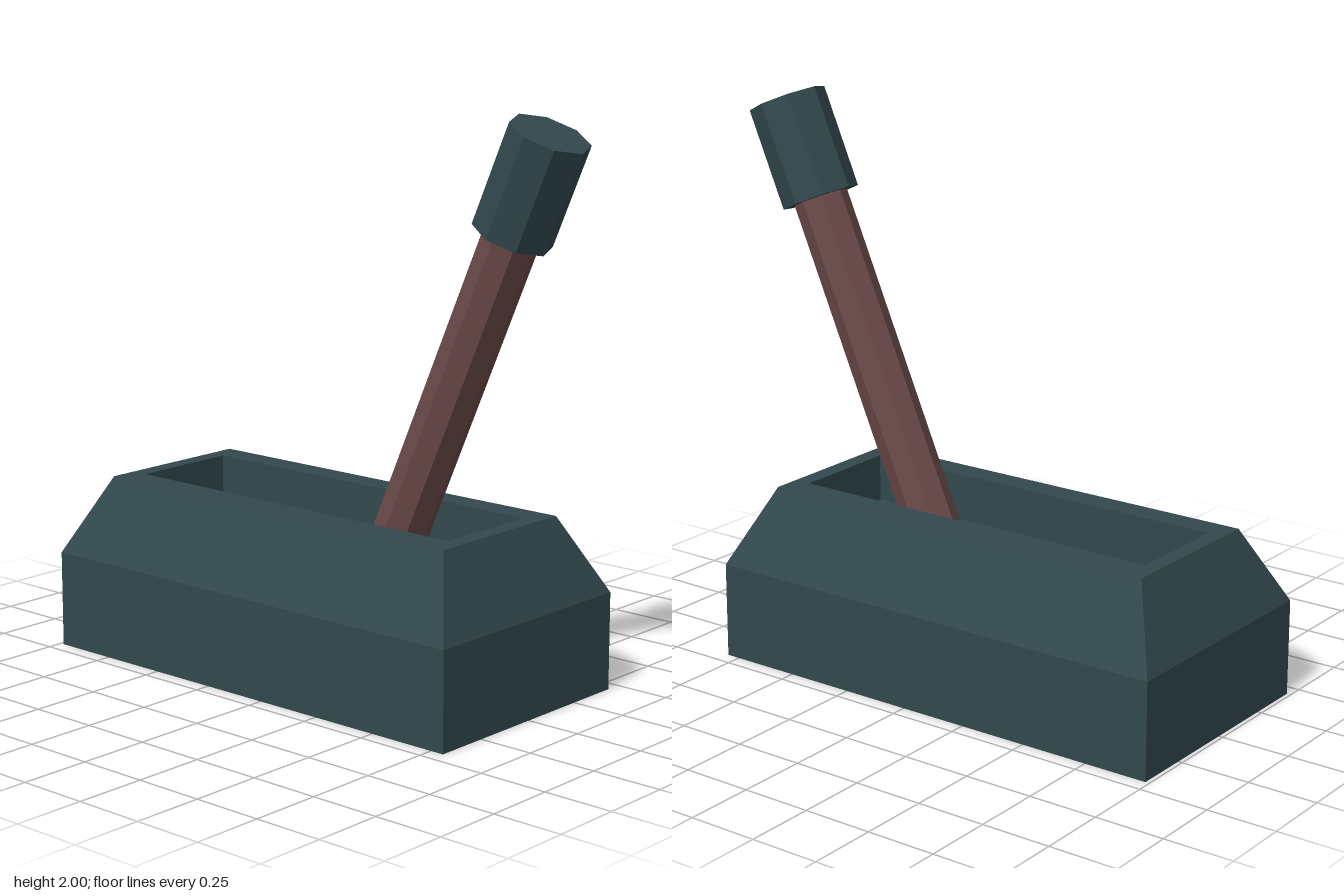
import * as THREE from 'three';

// Faceted shell joining rectangular rings [xMin, xMax, halfDepth, y]; the last ring is capped.
function ringShell(rings) {
  const positions = [];
  const corners = rings.map(([x0, x1, z, y]) => [[x0, y, z], [x1, y, z], [x1, y, -z], [x0, y, -z]]);
  const quad = (a, b, c, d) => positions.push(...a, ...b, ...c, ...a, ...c, ...d);
  for (let r = 0; r < corners.length - 1; r++) {
    for (let i = 0; i < 4; i++) {
      const j = (i + 1) % 4;
      quad(corners[r][i], corners[r][j], corners[r + 1][j], corners[r + 1][i]);
    }
  }
  quad(...corners[corners.length - 1]);
  const geometry = new THREE.BufferGeometry();
  geometry.setAttribute('position', new THREE.Float32BufferAttribute(positions, 3));
  geometry.computeVertexNormals();
  return geometry;
}

export function createModel() {
  const model = new THREE.Group();
  model.name = 'lever';

  const slate = new THREE.MeshStandardMaterial({ name: 'dark slate', color: 0x32484d, flatShading: true, side: THREE.DoubleSide });
  const brown = new THREE.MeshStandardMaterial({ name: 'reddish brown', color: 0x6a4a49, flatShading: true });

  // Housing: open underneath, bevelled upper sides, flat rim and sunken floor
  const housing = new THREE.Mesh(ringShell([
    [-0.985, 0.8, 0.445, 0],
    [-0.985, 0.8, 0.445, 0.345],
    [-0.86, 0.675, 0.297, 0.62],
    [-0.8, 0.613, 0.2, 0.62],
    [-0.8, 0.613, 0.2, 0.45],
  ]), slate);
  housing.name = 'housing';
  model.add(housing);

  // Tilted lever, with its origin at the lower end of the shaft
  const lever = new THREE.Group();
  lever.name = 'leverArm';
  lever.position.set(0.105, 0.24, 0);
  lever.rotation.z = -0.413;
  model.add(lever);

  const addRod = (name, radius, from, to, material) => {
    const rod = new THREE.Mesh(new THREE.CylinderGeometry(radius, radius, to - from, 8), material);
    rod.name = name;
    rod.position.y = (from + to) / 2;
    lever.add(rod);
  };
  addRod('shaft', 0.097, 0, 1.55, brown);
  addRod('grip', 0.138, 1.495, 1.862, slate);

  return model;
}
